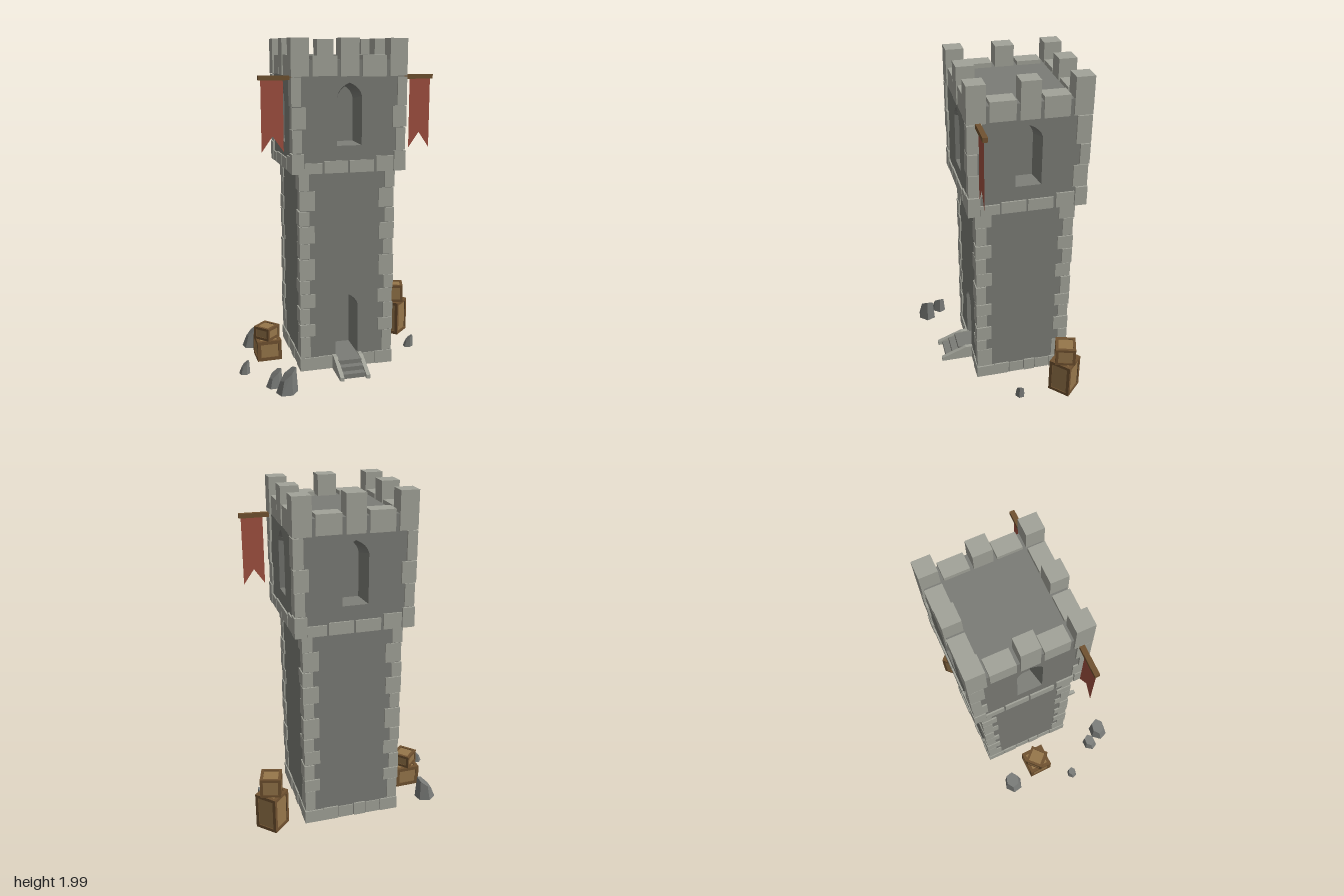
import * as THREE from 'three';

const mat = (color, side = THREE.FrontSide) =>
  new THREE.MeshStandardMaterial({ color, side, flatShading: true, roughness: 0.9 });
const wallMat = mat(0x7b7c76, THREE.DoubleSide);
const stoneMat = mat(0xa2a399);
const rockMat = mat(0x777976);
const plankMat = mat(0x96764a);
const frameMat = mat(0x705230);
const clothMat = mat(0xa05040, THREE.DoubleSide);

function add(parent, name, geo, material, x = 0, y = 0, z = 0) {
  const m = new THREE.Mesh(geo, material);
  m.name = name;
  m.position.set(x, y, z);
  parent.add(m);
  return m;
}
// box given by its minimum and maximum on each axis
function block(parent, name, material, x0, x1, y0, y1, z0, z1) {
  return add(parent, name, new THREE.BoxGeometry(x1 - x0, y1 - y0, z1 - z0), material,
    (x0 + x1) / 2, (y0 + y1) / 2, (z0 + z1) / 2);
}
function group(parent, name) {
  const g = new THREE.Group();
  g.name = name;
  parent.add(g);
  return g;
}

// outline of a pointed arch
function archPoints(w, y0, spring, apex) {
  const s = new THREE.Shape();
  const c = spring + (apex - spring) * 0.65;
  s.moveTo(-w, y0);
  s.lineTo(w, y0);
  s.lineTo(w, spring);
  s.quadraticCurveTo(w * 0.85, c, 0, apex);
  s.quadraticCurveTo(-w * 0.85, c, -w, spring);
  return s.getPoints(4);
}

// flat wall facing +z with an optional arched recess (outer outline to inner outline)
function wall(parent, half, y0, y1, opening) {
  const shape = new THREE.Shape();
  shape.moveTo(-half, y0).lineTo(half, y0).lineTo(half, y1).lineTo(-half, y1);
  if (opening) shape.holes.push(new THREE.Path(opening.outer));
  add(parent, 'wall', new THREE.ShapeGeometry(shape), wallMat, 0, 0, half);
  if (!opening) return;
  const { outer, inner, depth, name } = opening;
  const pos = [], n = outer.length;
  for (let i = 0; i < n; i++) {
    const j = (i + 1) % n;
    const a = [outer[i].x, outer[i].y, 0], b = [outer[j].x, outer[j].y, 0];
    const c = [inner[j].x, inner[j].y, -depth], d = [inner[i].x, inner[i].y, -depth];
    pos.push(...a, ...b, ...c, ...a, ...c, ...d);
  }
  const g = new THREE.BufferGeometry();
  g.setAttribute('position', new THREE.Float32BufferAttribute(pos, 3));
  g.computeVertexNormals();
  add(parent, name + 'Jamb', g, wallMat, 0, 0, half);
  add(parent, name + 'Back', new THREE.ShapeGeometry(new THREE.Shape(inner)), wallMat, 0, 0, half - depth);
}

// corner stones alternating long and short on the two faces
function quoins(parent, half, rows, wide, narrow, baseWide) {
  for (const sx of [-1, 1]) for (const sz of [-1, 1])
    for (let i = 0; i < rows.length - 1; i++) {
      const first = i === 0;
      const w = first ? baseWide : i % 2 ? narrow : wide;
      const d = first ? baseWide : i % 2 ? wide : narrow;
      const out = half - (i % 3 === 1 ? 0.004 : 0);
      const h = rows[i + 1] - rows[i] - 0.005;
      add(parent, 'cornerStone', new THREE.BoxGeometry(w, h, d), stoneMat,
        sx * (out - w / 2), rows[i] + h / 2, sz * (out - d / 2));
    }
}

// crate with framed edges, standing on y
function crate(parent, name, w, h, x, y, z, turn) {
  const g = group(parent, name);
  g.position.set(x, y + h / 2, z);
  g.rotation.y = turn;
  const t = w * 0.14, e = w * 0.04;
  add(g, 'planks', new THREE.BoxGeometry(w - 2 * e, h - 2 * e, w - 2 * e), plankMat);
  for (const a of [-1, 1]) for (const b of [-1, 1]) {
    const u = a * (w - t) / 2, v = b * (w - t) / 2, k = b * (h - t) / 2;
    add(g, 'post', new THREE.BoxGeometry(t, h, t), frameMat, u, 0, v);
    add(g, 'rail', new THREE.BoxGeometry(w - 2 * t, t, t), frameMat, 0, k, u);
    add(g, 'rail', new THREE.BoxGeometry(t, t, w - 2 * t), frameMat, u, k, 0);
  }
}

// upright boulder with a slanted top, highest toward its local +x
function rock(parent, rx, rz, h, x, z, turn) {
  const geo = new THREE.CylinderGeometry(0.72, 1, 1, 6);
  const p = geo.attributes.position;
  for (let i = 0; i < p.count; i++) {
    const px = p.getX(i), pz = p.getZ(i), top = p.getY(i) > 0;
    const y = top ? h * (0.72 + 0.38 * Math.min(px, 0.5) + 0.12 * pz) : 0;
    p.setXYZ(i, (px + (top ? 0.14 : 0)) * rx, y, pz * rz);
  }
  geo.computeVertexNormals();
  add(parent, 'rock', geo, rockMat, x, 0.015, z).rotation.y = turn;
}

export function createModel() {
  const model = new THREE.Group();
  model.name = 'watchtower';
  const tower = group(model, 'tower');
  tower.position.set(0.037, 0, -0.112);

  // walls, floors and roof
  const door = {
    name: 'door', depth: 0.2,
    outer: archPoints(0.07, 0.105, 0.42, 0.495), inner: archPoints(0.07, 0.105, 0.42, 0.495),
  };
  const window = {
    name: 'window', depth: 0.1,
    outer: archPoints(0.073, 1.4, 1.68, 1.755), inner: archPoints(0.047, 1.415, 1.66, 1.73),
  };
  const lo = 0.281, up = 0.326;
  block(tower, 'base', wallMat, -lo, lo, 0.025, 0.04, -lo, lo);
  block(tower, 'overhang', wallMat, -up, up, 1.245, 1.26, -up, up);
  block(tower, 'roof', wallMat, -up, up, 1.865, 1.88, -up, up);

  for (let k = 0; k < 4; k++) {
    const side = group(tower, ['frontSide', 'leftSide', 'backSide', 'rightSide'][k]);
    side.rotation.y = k * Math.PI / 2;
    wall(side, lo, 0.025, 1.25, k === 0 ? door : null);
    wall(side, up, 1.245, 1.88, window);
    // foundation stones
    const base = k === 0 ? [[-0.178, -0.075], [0.075, 0.178]]
      : [[-0.178, -0.085], [-0.08, 0.01], [0.015, 0.085], [0.09, 0.178]];
    base.forEach(([a, b], i) =>
      block(side, 'baseStone', stoneMat, a, b, 0.025, 0.108 - 0.006 * (i % 2), 0.24, 0.29 - 0.004 * (i % 2)));
    // stone course under the upper storey
    [[-0.267, -0.16, 1.305], [-0.15, -0.01, 1.315], [0, 0.145, 1.315], [0.16, 0.264, 1.335]].forEach(([a, b, t]) =>
      block(side, 'courseStone', stoneMat, a, b, 1.245, t, 0.28, 0.335));
    // battlements
    block(side, 'merlon', stoneMat, -0.054, 0.054, 1.79, 2, 0.233, 0.335);
    for (const s of [-1, 1])
      add(side, 'lowMerlon', new THREE.BoxGeometry(0.142, 0.115 + s * 0.004, 0.098), stoneMat,
        s * 0.145, 1.847, 0.283);
  }
  quoins(tower, 0.29, [0.025, 0.11, 0.245, 0.325, 0.425, 0.515, 0.6, 0.73, 0.825, 0.93, 1.02, 1.14, 1.245],
    0.092, 0.06, 0.11);
  quoins(tower, 0.338, [1.245, 1.365, 1.5, 1.625, 1.79], 0.082, 0.056, 0.07);
  for (const sx of [-1, 1]) for (const sz of [-1, 1])
    add(tower, 'cornerMerlon', new THREE.BoxGeometry(0.103, 0.21, 0.103), stoneMat, sx * 0.287, 1.895, sz * 0.287);

  // entrance steps with sloped side walls
  const stairs = group(tower, 'stairs');
  for (let i = 0; i < 3; i++)
    block(stairs, 'step', wallMat, -0.07, 0.07, 0.025, 0.105 - i * 0.026, 0.25, 0.37 + i * 0.042);
  const cheek = new THREE.Shape();
  cheek.moveTo(0.27, 0.025).lineTo(0.482, 0.025).lineTo(0.482, 0.048).lineTo(0.325, 0.112).lineTo(0.27, 0.112);
  const cheekGeo = new THREE.ExtrudeGeometry(cheek, { depth: 0.024, bevelEnabled: false });
  cheekGeo.rotateY(-Math.PI / 2);
  for (const x of [-0.068, 0.092]) add(stairs, 'stairSide', cheekGeo, stoneMat, x);

  // banners on poles
  const flag = new THREE.Shape();
  flag.moveTo(-0.063, 1.775).lineTo(-0.063, 1.37).lineTo(0, 1.46).lineTo(0.063, 1.37).lineTo(0.063, 1.775);
  for (const s of [-1, 1]) {
    const banner = group(tower, 'banner');
    add(banner, 'pole', new THREE.BoxGeometry(0.2, 0.026, 0.028), frameMat, s * 0.412, 1.783, 0.278);
    add(banner, 'cloth', new THREE.ShapeGeometry(flag), clothMat, s * 0.436, 0, 0.282);
  }

  // crates
  crate(model, 'tallCrate', 0.14, 0.225, 0.513, 0.017, -0.335, 0.78);
  crate(model, 'smallCrate', 0.122, 0.118, 0.513, 0.242, -0.333, -0.28);
  crate(model, 'wideCrate', 0.152, 0.128, -0.407, 0.022, -0.11, 0.03);
  crate(model, 'topCrate', 0.115, 0.08, -0.41, 0.15, -0.11, 0.76);

  // scattered rocks
  rock(model, 0.064, 0.06, 0.15, -0.476, -0.32, 0.2);
  rock(model, 0.034, 0.032, 0.085, -0.582, 0.09, 0.3);
  rock(model, 0.052, 0.044, 0.11, -0.437, 0.302, 0.5);
  rock(model, 0.066, 0.058, 0.155, -0.38, 0.395, 0.4);
  rock(model, 0.034, 0.03, 0.08, 0.522, -0.05, 0.1);
  return model;
}
